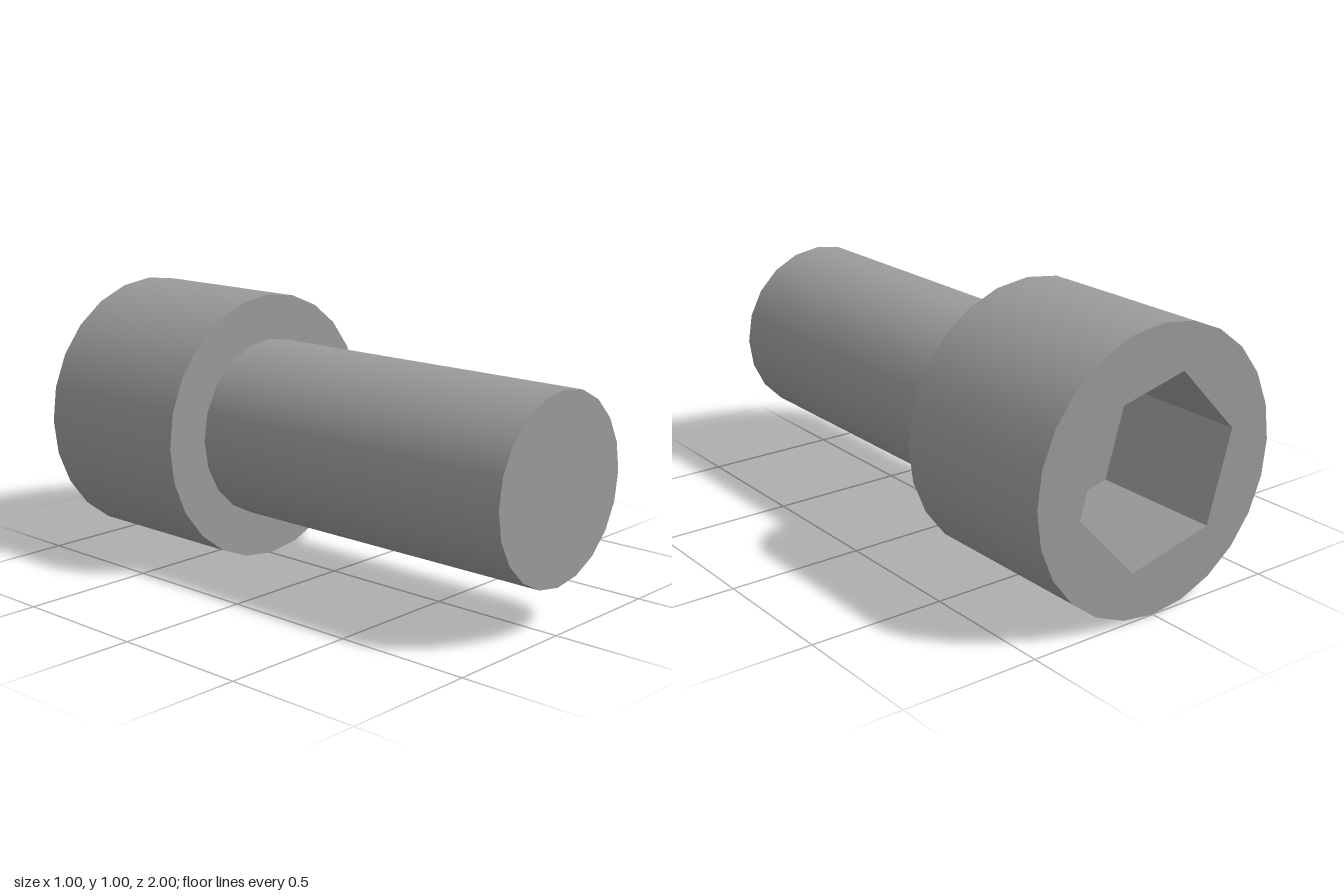
import * as THREE from 'three';

const HEAD_R = 0.5, SHAFT_R = 0.333, HEX_R = 0.338;
const BACK = -1, SHOULDER = -0.333, TIP = 1, FLOOR = -0.5;
const HEAD_SIDES = 24, SHAFT_SIDES = 20;
const HEX_TURN = THREE.MathUtils.degToRad(-13.5);
const STEEL = 0x9a9a9a;

// Corners of a regular polygon, first corner at the angle `turn`
function ngon(n, r, turn = 0) {
  return Array.from({ length: n }, (_, i) => {
    const a = turn + (i / n) * Math.PI * 2;
    return new THREE.Vector2(Math.cos(a) * r, Math.sin(a) * r);
  });
}

// Flat face, with an optional hole, facing +z
function face(outline, hole) {
  const shape = new THREE.Shape(outline);
  if (hole) shape.holes.push(new THREE.Path(hole));
  return new THREE.ShapeGeometry(shape);
}

// Open prism wall along z; corners line up with ngon()
function wall(n, r, z0, z1, turn = 0) {
  return new THREE.CylinderGeometry(r, r, z1 - z0, n, 1, true, turn + Math.PI / 2)
    .rotateX(Math.PI / 2)
    .translate(0, 0, (z0 + z1) / 2);
}

export function createModel() {
  const model = new THREE.Group();
  model.name = 'socketHeadScrew';
  const smooth = new THREE.MeshStandardMaterial({ color: STEEL });
  const faceted = new THREE.MeshStandardMaterial({
    color: STEEL, flatShading: true, side: THREE.DoubleSide,
  });

  const add = (parent, name, geometry, material = smooth) => {
    const mesh = new THREE.Mesh(geometry, material);
    mesh.name = name;
    parent.add(mesh);
  };
  const group = (name) => {
    const g = new THREE.Group();
    g.name = name;
    g.position.y = HEAD_R;
    model.add(g);
    return g;
  };

  // Head: barrel, back rim around the socket, shoulder around the shaft
  const head = group('head');
  add(head, 'headBarrel', wall(HEAD_SIDES, HEAD_R, BACK, SHOULDER));
  add(head, 'headRim', face(ngon(HEAD_SIDES, HEAD_R), ngon(6, HEX_R, -HEX_TURN))
    .rotateY(Math.PI).translate(0, 0, BACK));
  add(head, 'headShoulder', face(ngon(HEAD_SIDES, HEAD_R), ngon(SHAFT_SIDES, SHAFT_R))
    .translate(0, 0, SHOULDER));

  // Hexagonal socket sunk into the back of the head
  const socket = group('socket');
  add(socket, 'socketWalls', wall(6, HEX_R, BACK, FLOOR, HEX_TURN), faceted);
  add(socket, 'socketFloor', face(ngon(6, HEX_R, -HEX_TURN))
    .rotateY(Math.PI).translate(0, 0, FLOOR));

  // Plain shaft with a flat tip
  const shaft = group('shaft');
  add(shaft, 'shaftBarrel', wall(SHAFT_SIDES, SHAFT_R, SHOULDER, TIP));
  add(shaft, 'shaftTip', face(ngon(SHAFT_SIDES, SHAFT_R)).translate(0, 0, TIP));

  return model;
}
